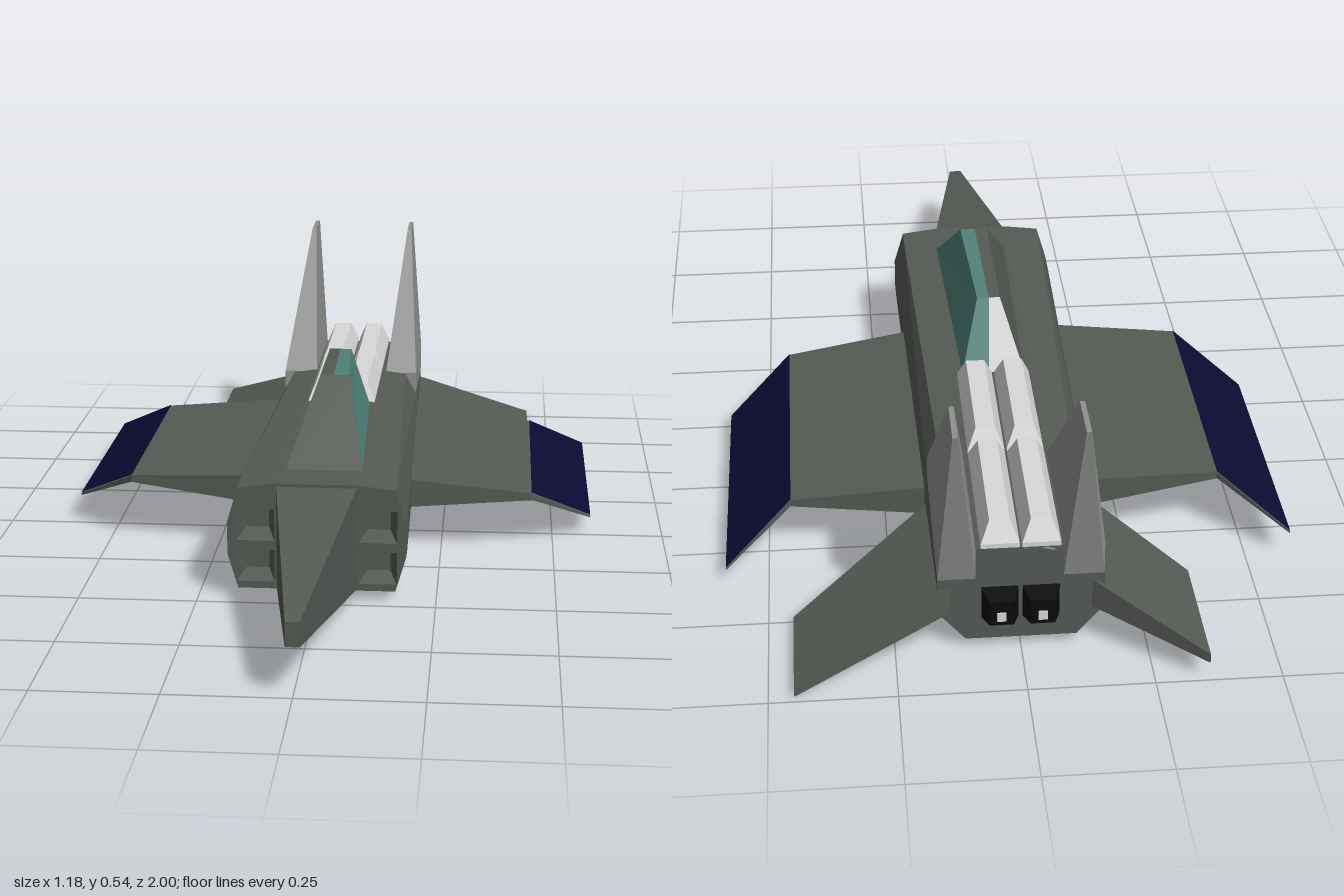
import * as THREE from 'three';
import { ConvexGeometry } from 'three/addons/geometries/ConvexGeometry.js';

const mat = (name, color, side = THREE.FrontSide) => {
  const m = new THREE.MeshStandardMaterial({ color, side });
  m.name = name;
  return m;
};

export function createModel() {
  const model = new THREE.Group();
  const hullGrey = mat('hull grey', 0x555a54, THREE.DoubleSide);
  const finGrey = mat('fin grey', 0x909290);
  const glass = mat('teal glass', 0x508278, THREE.DoubleSide);
  const navy = mat('navy', 0x0c0a32, THREE.DoubleSide);
  const light = mat('light grey', 0xd8d8da, THREE.DoubleSide);
  const black = mat('black', 0x0a0a0a);

  const add = (name, geometry, material) => {
    const mesh = new THREE.Mesh(geometry, material);
    mesh.name = name;
    model.add(mesh);
    return mesh;
  };
  // Faceted solid around a set of corners
  const solid = (name, points, material) =>
    add(name, new ConvexGeometry(points.map(p => new THREE.Vector3(...p))), material);
  // Flat four-cornered panel
  const panel = (name, corners, material) => {
    const [a, b, c, d] = corners;
    const g = new THREE.BufferGeometry();
    g.setAttribute('position', new THREE.Float32BufferAttribute([a, b, c, a, c, d].flat(), 3));
    g.computeVertexNormals();
    return add(name, g, material);
  };
  // Rectangle of corners at a given z
  const rect = (x0, x1, y0, y1, z) => [[x0, y0, z], [x1, y0, z], [x1, y1, z], [x0, y1, z]];
  // Mirrored cross-section at a given z
  const ring = (half, z) => half.flatMap(([x, y]) => [[x, y, z], [-x, y, z]]);

  // Fuselage
  const frontHalf = [[0.085, 0.255], [0.165, 0.245], [0.187, 0.17], [0.187, 0.10], [0.165, 0.025]];
  const rearHalf = [[0.085, 0.24], [0.13, 0.235], [0.165, 0.17], [0.165, 0.09], [0.11, 0.025]];
  solid('fuselage', [...ring(frontHalf, 0.42), ...ring(rearHalf, -0.86)], hullGrey);

  // Intake block with four tapered openings
  const outline = [...frontHalf, ...frontHalf.map(([x, y]) => [-x, y]).reverse()];
  const face = new THREE.Shape(outline.map(p => new THREE.Vector2(...p)));
  const w = 0.04, h = 0.035;
  for (const x of [-0.128, 0.128]) for (const y of [0.075, 0.165]) {
    face.holes.push(new THREE.Path([[-w, -h], [-w, h], [w, h], [w, -h]]
      .map(([dx, dy]) => new THREE.Vector2(x + dx, y + dy))));
    const funnel = new THREE.CylinderGeometry(Math.SQRT2, 0.6 * Math.SQRT2, 0.05, 4, 1, true)
      .toNonIndexed();
    funnel.rotateY(Math.PI / 4).rotateX(Math.PI / 2).scale(w, h, 1).translate(x, y, 0.445);
    funnel.computeVertexNormals();
    add('intakeFunnel', funnel, hullGrey);
  }
  add('intakeBlock', new THREE.ExtrudeGeometry(face, { depth: 0.05, bevelEnabled: false })
    .translate(0, 0, 0.42), hullGrey);

  // Nose
  solid('nose', [...rect(-0.085, 0.085, 0.025, 0.25, 0.46),
    ...rect(-0.014, 0.014, 0.105, 0.155, 1)], hullGrey);

  // Canopy: glazed on its left side, plain on its right
  const base = { fl: [0.09, 0.25, 0.37], fr: [-0.075, 0.25, 0.37], bl: [0.07, 0.24, -0.215], br: [-0.07, 0.24, -0.215] };
  const top = { fl: [0.045, 0.41, 0.16], fr: [-0.017, 0.41, 0.16], bl: [0.03, 0.395, -0.14], br: [-0.02, 0.395, -0.14] };
  const midF = [0.012, 0.41, 0.16], midB = [0.004, 0.395, -0.14];
  panel('canopyFront', [base.fr, base.fl, top.fl, top.fr], hullGrey);
  panel('canopyGlass', [base.fl, base.bl, top.bl, top.fl], glass);
  panel('canopyRightSide', [base.br, base.fr, top.fr, top.br], hullGrey);
  panel('canopyRoofGlass', [midF, top.fl, top.bl, midB], glass);
  panel('canopyRoof', [top.fr, midF, midB, top.br], hullGrey);
  panel('canopyBackGlass', [[0.01, 0.24, -0.215], midB, top.bl, base.bl], glass);
  panel('canopyBack', [base.br, top.br, midB, [0.01, 0.24, -0.215]], light);

  // Pairs of bevelled housings along the spine
  for (const x of [-0.039, 0.042]) {
    for (const [z0, z1] of [[-0.215, -0.525], [-0.535, -0.86]]) {
      const low = [], high = [];
      for (const [z, inset] of [[z0, -0.02], [z1, 0.02]]) {
        for (const s of [-1, 1]) {
          low.push([x + s * 0.038, 0.23, z], [x + s * 0.038, 0.25, z]);
          high.push([x + s * 0.02, 0.293, z + inset]);
        }
      }
      solid('spineHousing', [...low, ...high], light);
    }
    // Exhaust nozzles
    solid('exhaust', [...rect(x - 0.038, x + 0.038, 0.075, 0.15, -0.855),
      ...rect(x - 0.024, x + 0.024, 0.085, 0.14, -0.9)], black);
    add('exhaustCore', new THREE.BoxGeometry(0.018, 0.02, 0.004)
      .translate(x, 0.105, -0.901), light);
  }

  // Tail fins
  for (const [x0, x1, tip] of [[0.09, 0.165, 0.133], [-0.163, -0.083, -0.115]]) {
    solid('tailFin', [
      ...rect(x0, x1, 0.17, 0.24, -0.53), ...rect(x0, x1, 0.17, 0.24, -0.86),
      ...[-0.83, -0.94].flatMap(z => [[tip - 0.005, 0.548, z], [tip + 0.005, 0.548, z]]),
    ], finGrey);
  }

  // Wings, drooped wing tips and tailplanes
  const sides = [
    { s: 1, wingY: 0.122, tipX: 0.587, tipY: 0.04, tailX: 0.45, tailY: 0.013, tailZ: [-0.76, -0.985] },
    { s: -1, wingY: 0.143, tipX: 0.59, tipY: 0.065, tailX: 0.355, tailY: 0.055, tailZ: [-0.725, -1] },
  ];
  for (const { s, wingY, tipX, tipY, tailX, tailY, tailZ } of sides) {
    const edge = (x, y, t, zs) => zs.flatMap(z => [[s * x, y - t, z], [s * x, y + t, z]]);
    solid('wing', [...edge(0.15, 0.133, 0.034, [0.13, -0.53]),
      ...edge(0.45, wingY, 0.008, [0.10, -0.50])], hullGrey);
    solid('wingTip', [...edge(0.45, wingY, 0.007, [0.10, -0.50]),
      ...edge(tipX, tipY, 0.002, [-0.02, -0.61])], hullGrey);
    const lift = 0.003;
    panel('wingTipPaint', [
      [s * 0.45, wingY + 0.007 + lift, 0.10], [s * tipX, tipY + 0.002 + lift, -0.02],
      [s * tipX, tipY + 0.002 + lift, -0.61], [s * 0.45, wingY + 0.007 + lift, -0.50],
    ], navy);
    solid('tailplane', [...edge(0.14, 0.122, 0.032, [-0.53, -0.86]),
      ...edge(tailX, tailY, 0.01, tailZ)], hullGrey);
  }
  return model;
}
